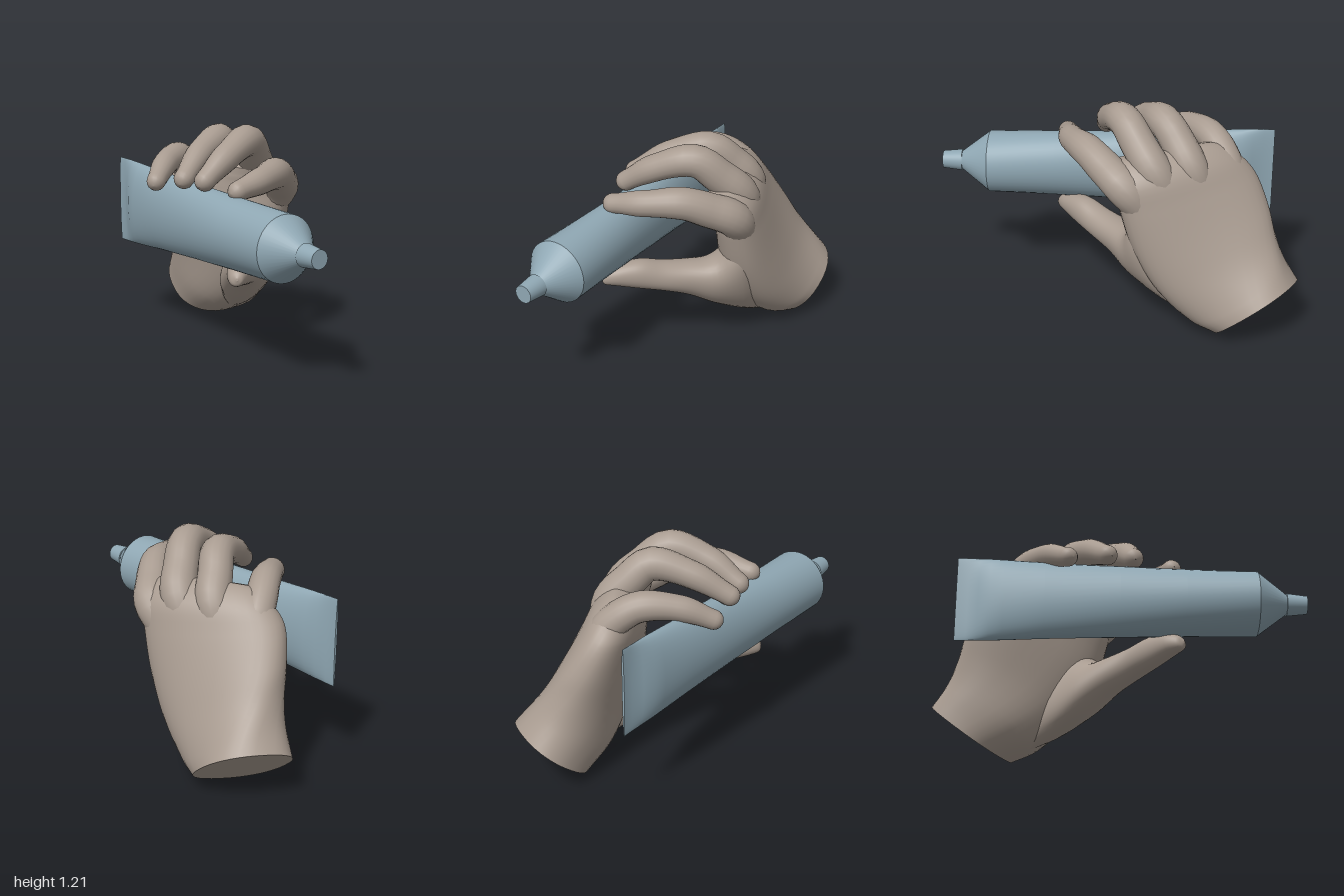
import * as THREE from 'three';

const skin = new THREE.MeshStandardMaterial({ color: 0xa99c91 });
const blue = new THREE.MeshStandardMaterial({ color: 0x8fa7b3 });
const V = (p) => new THREE.Vector3(...p);

// Skin a list of rings { c, u, v }: centre and two half axes, with u x v pointing along the loft
function loft(rings, sides, power = 2, caps = true) {
  const pos = [], index = [];
  const bend = (s) => Math.sign(s) * Math.abs(s) ** (2 / power);
  const addRing = ({ c, u, v }) => {
    for (let j = 0; j < sides; j++) {
      const a = (j / sides) * Math.PI * 2;
      const p = c.clone().addScaledVector(u, bend(Math.cos(a))).addScaledVector(v, bend(Math.sin(a)));
      pos.push(p.x, p.y, p.z);
    }
  };
  rings.forEach(addRing);
  for (let i = 0; i < rings.length - 1; i++) {
    for (let j = 0; j < sides; j++) {
      const a = i * sides + j, b = i * sides + (j + 1) % sides;
      index.push(a, b, a + sides, b, b + sides, a + sides);
    }
  }
  // Caps have their own vertices so that their rims stay sharp
  const cap = (ring, flip) => {
    const first = pos.length / 3;
    addRing(ring);
    pos.push(ring.c.x, ring.c.y, ring.c.z);
    for (let j = 0; j < sides; j++) {
      const a = first + j, b = first + (j + 1) % sides;
      index.push(first + sides, flip ? b : a, flip ? a : b);
    }
  };
  if (caps) {
    cap(rings[0], true);
    cap(rings[rings.length - 1], false);
  }
  const g = new THREE.BufferGeometry();
  g.setAttribute('position', new THREE.Float32BufferAttribute(pos, 3));
  g.setIndex(index);
  g.computeVertexNormals();
  return g;
}

// Tapered finger along [x, y, z, radius] joints: it starts inside the palm and ends in a rounded tip
function finger(joints) {
  const curve = new THREE.CatmullRomCurve3(joints.map((j) => V(j.slice(0, 3))));
  const steps = 32, { tangents, normals, binormals } = curve.computeFrenetFrames(steps);
  const ring = (c, i, r) => ({
    c, u: normals[i].clone().multiplyScalar(r), v: binormals[i].clone().multiplyScalar(r),
  });
  const rings = [];
  for (let i = 0; i <= steps; i++) {
    const f = curve.getUtoTmapping(i / steps) * (joints.length - 1);
    const k = Math.min(Math.floor(f), joints.length - 2);
    const r = THREE.MathUtils.lerp(joints[k][3], joints[k + 1][3], THREE.MathUtils.smoothstep(f - k, 0, 1));
    rings.push(ring(curve.getPointAt(i / steps), i, r));
  }
  const tip = rings[steps].c, r = joints[joints.length - 1][3];
  for (let k = 1; k <= 5; k++) {
    const a = (k / 5) * Math.PI * 0.495;
    rings.push(ring(tip.clone().addScaledVector(tangents[steps], r * Math.sin(a)), steps, r * Math.cos(a)));
  }
  return loft(rings, 18, 2, false);
}

// Smooth fleshy mass through sections of [one edge, opposite edge, half thickness]
function flesh(sections, power) {
  const [edgeA, edgeB, thick] = [0, 1, 2].map((k) => new THREE.CatmullRomCurve3(sections.map((s) => V(s[k]))));
  const rings = [];
  for (let i = 0; i <= 35; i++) {
    const a = edgeA.getPoint(i / 35), b = edgeB.getPoint(i / 35);
    rings.push({
      c: a.clone().add(b).multiplyScalar(0.5), u: a.clone().sub(b).multiplyScalar(0.5), v: thick.getPoint(i / 35),
    });
  }
  return loft(rings, 36, power);
}

// Wrist to finger webs: thumb side, little-finger side
const palm = [
  [[0.23, 0.0, -0.6], [0.28, 0.31, -0.985], [0.215, 0.025, 0.09]],
  [[0.23, 0.08, -0.43], [0.21, 0.41, -0.93], [0.22, 0, 0.03]],
  [[0.26, 0.25, -0.25], [0.11, 0.53, -0.88], [0.2, 0, -0.02]],
  [[0.28, 0.46, -0.13], [0.02, 0.67, -0.83], [0.175, 0, -0.06]],
  [[0.29, 0.7, -0.06], [-0.05, 0.83, -0.75], [0.14, 0.01, -0.07]],
  [[0.28, 0.84, -0.03], [-0.06, 0.91, -0.67], [0.11, 0.05, -0.05]],
  [[0.2, 0.93, -0.02], [-0.05, 0.97, -0.57], [0.06, 0.055, -0.025]],
  [[0.13, 0.95, 0.0], [-0.06, 0.98, -0.51], [0.01, 0.012, -0.005]],
];

// Ball of the thumb to its tip: upper edge, which forms the web, and lower edge
const thumb = [
  [[0.25, 0.78, -0.32], [0.23, 0.04, -0.52], [-0.07, 0, -0.04]],
  [[0.21, 0.66, -0.15], [0.15, 0.11, -0.35], [-0.12, 0, -0.09]],
  [[0.11, 0.53, -0.1], [0.05, 0.2, -0.19], [-0.115, 0, -0.09]],
  [[0.0, 0.515, -0.02], [-0.03, 0.295, -0.05], [-0.085, 0, -0.075]],
  [[-0.1, 0.53, 0.08], [-0.1, 0.36, 0.09], [-0.06, 0, -0.058]],
  [[-0.18, 0.56, 0.18], [-0.2, 0.395, 0.2], [-0.052, 0, -0.052]],
  [[-0.27, 0.54, 0.27], [-0.285, 0.42, 0.28], [-0.042, 0, -0.042]],
  [[-0.315, 0.51, 0.32], [-0.325, 0.435, 0.325], [-0.025, 0, -0.025]],
  [[-0.327, 0.48, 0.337], [-0.328, 0.465, 0.338], [-0.004, 0, -0.004]],
];

const fingers = {
  indexFinger: [[0.24, 0.5, -0.3, 0.05], [0.25, 0.7, -0.18, 0.085], [0.255, 0.84, -0.07, 0.1], [0.17, 0.905, 0.03, 0.095],
    [0.07, 0.96, 0.13, 0.088], [-0.1, 0.955, 0.235, 0.072], [-0.28, 0.925, 0.28, 0.054]],
  middleFinger: [[0.19, 0.5, -0.42, 0.05], [0.2, 0.75, -0.32, 0.085], [0.2, 0.92, -0.22, 0.1], [0.12, 1.025, -0.14, 0.095],
    [0.02, 1.12, -0.06, 0.09], [-0.18, 1.06, 0.03, 0.075], [-0.345, 0.955, 0.07, 0.056]],
  ringFinger: [[0.13, 0.5, -0.57, 0.05], [0.13, 0.76, -0.48, 0.085], [0.13, 0.92, -0.41, 0.096], [0.06, 1.02, -0.345, 0.093],
    [-0.02, 1.105, -0.27, 0.09], [-0.21, 1.06, -0.17, 0.074], [-0.385, 0.95, -0.07, 0.055]],
  littleFinger: [[0.06, 0.55, -0.7, 0.05], [0.03, 0.76, -0.65, 0.075], [0.0, 0.87, -0.61, 0.088], [-0.06, 0.94, -0.57, 0.085],
    [-0.14, 0.99, -0.51, 0.081], [-0.3, 0.98, -0.39, 0.068], [-0.43, 0.91, -0.28, 0.052]],
};

export function createModel() {
  const model = new THREE.Group();
  const part = (name, geometry, material, parent) => {
    const mesh = new THREE.Mesh(geometry, material);
    mesh.name = name;
    parent.add(mesh);
    return mesh;
  };

  const hand = new THREE.Group();
  hand.name = 'hand';
  part('palm', flesh(palm, 2.3), skin, hand);
  part('thumb', flesh(thumb, 2.1), skin, hand);
  for (const [name, joints] of Object.entries(fingers)) part(name, finger(joints), skin, hand);

  // Squeeze tube: flat crimp at the back swelling to a round shoulder, as [z, half width, half height]
  const tube = new THREE.Group();
  tube.name = 'squeezeTube';
  tube.position.set(-0.31, 0.71, 0);
  const body = [
    [-0.87, 0.007, 0.245], [-0.81, 0.009, 0.245], [-0.75, 0.035, 0.243], [-0.69, 0.06, 0.24], [-0.62, 0.072, 0.236],
    [-0.4, 0.094, 0.222], [0, 0.126, 0.203], [0.35, 0.15, 0.188], [0.73, 0.175, 0.175],
  ].map(([z, w, h]) => ({ c: V([0, 0, z]), u: V([w, 0, 0]), v: V([0, h, 0]) }));
  part('tubeBody', loft(body, 40), blue, tube);

  // Round pieces along the tube axis
  const cone = (name, z0, z1, r0, r1) => {
    const mesh = part(name, new THREE.CylinderGeometry(r1, r0, z1 - z0, 40), blue, tube);
    mesh.rotation.x = Math.PI / 2;
    mesh.position.z = (z0 + z1) / 2;
  };
  cone('shoulder', 0.73, 0.9, 0.175, 0.045);
  cone('cap', 0.89, 1, 0.061, 0.049);

  model.add(hand, tube);
  return model;
}
